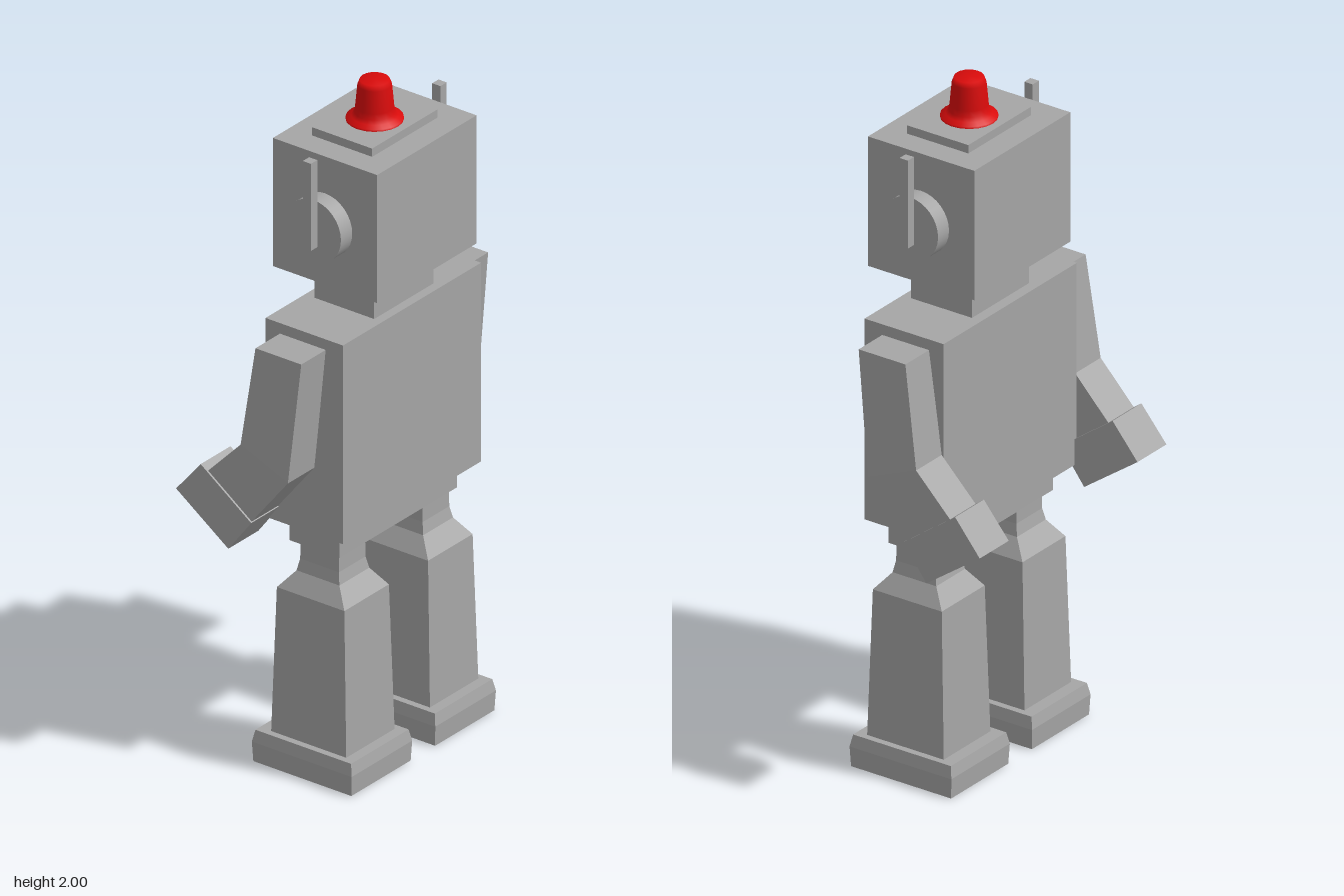
import * as THREE from 'three';

const metal = new THREE.MeshStandardMaterial({ color: 0xa6a6a6 });
metal.name = 'grey metal';
const red = new THREE.MeshStandardMaterial({ color: 0xd90b0b });
red.name = 'red lamp';

function add(parent, name, geometry, material = metal, x = 0, y = 0, z = 0) {
  const mesh = new THREE.Mesh(geometry, material);
  mesh.name = name;
  mesh.position.set(x, y, z);
  parent.add(mesh);
  return mesh;
}

// Box given by half depth, half width, bottom and top
function block(parent, name, a, b, y0, y1, x = 0, z = 0) {
  return add(parent, name, new THREE.BoxGeometry(2 * a, y1 - y0, 2 * b), metal, x, (y0 + y1) / 2, z);
}

// Faceted solid through four-cornered rings, listed from bottom to top
function loft(rings) {
  const pos = [];
  const quad = (a, b, c, d) => pos.push(...a, ...b, ...c, ...a, ...c, ...d);
  for (let k = 0; k < rings.length - 1; k++) {
    const p = rings[k], q = rings[k + 1];
    for (let i = 0; i < 4; i++) {
      const j = (i + 1) % 4;
      quad(p[i], p[j], q[j], q[i]);
    }
  }
  const lo = rings[0], hi = rings[rings.length - 1];
  quad(lo[3], lo[2], lo[1], lo[0]);
  quad(hi[0], hi[1], hi[2], hi[3]);
  const g = new THREE.BufferGeometry();
  g.setAttribute('position', new THREE.Float32BufferAttribute(pos, 3));
  g.computeVertexNormals();
  return g;
}

// Level ring: height, half depth, half width
const level = ([y, a, b]) => [[-a, y, -b], [-a, y, b], [a, y, b], [a, y, -b]];

// Slanted arm ring: front point, back point, inner and outer side
const slanted = (s) => ([fx, fy, bx, by, zin, zout]) => {
  const z0 = Math.min(s * zin, s * zout), z1 = Math.max(s * zin, s * zout);
  return [[fx, fy, z0], [fx, fy, z1], [bx, by, z1], [bx, by, z0]];
};

export function createModel() {
  const model = new THREE.Group();
  model.name = 'robot';
  // The robot faces -x, turned a little about the vertical
  const robot = new THREE.Group();
  robot.name = 'body';
  robot.position.set(0.0975, 0, -0.03);
  robot.rotation.y = 0.153;
  model.add(robot);

  // Trunk and head
  block(robot, 'hips', 0.085, 0.26, 0.675, 0.752, -0.005);
  block(robot, 'torso', 0.132, 0.305, 0.75, 1.355, -0.005);
  block(robot, 'neck', 0.102, 0.131, 1.35, 1.475, -0.003);
  block(robot, 'head', 0.1775, 0.22, 1.465, 1.855);
  block(robot, 'headPlate', 0.102, 0.144, 1.85, 1.88);

  // Lamp on the head with a flared foot
  const lampProfile = [
    [0.079, 1.878], [0.079, 1.886], [0.064, 1.892], [0.056, 1.903],
    [0.053, 1.92], [0.047, 1.985], [0.041, 2.0], [0, 2.0],
  ].map(([r, y]) => new THREE.Vector2(r, y));
  add(robot, 'lamp', new THREE.LatheGeometry(lampProfile, 20), red);

  for (const s of [1, -1]) {
    const side = s > 0 ? 'left' : 'right';

    // Ear disc and antenna
    const ear = add(robot, side + 'Ear', new THREE.CylinderGeometry(0.093, 0.093, 0.06, 32), metal, 0, 1.65, s * 0.24);
    ear.rotation.x = Math.PI / 2;
    block(robot, side + 'Antenna', 0.014, 0.014, 1.605, 1.87, 0, s * 0.286);

    // Leg and foot
    const leg = [[0.09, 0.128, 0.107], [0.534, 0.115, 0.0985], [0.585, 0.073, 0.066], [0.62, 0.066, 0.059], [0.68, 0.065, 0.058]];
    add(robot, side + 'Leg', loft(leg.map(level)), metal, 0, 0, s * 0.185);
    const foot = [[0, 0.167, 0.131], [0.06, 0.17, 0.134], [0.095, 0.163, 0.127]];
    add(robot, side + 'Foot', loft(foot.map(level)), metal, -0.003, 0, s * 0.185);

    // Bent arm and the slightly wider hand
    const arm = [
      [-0.262, 0.885, -0.1, 0.79, 0.304, 0.421],
      [-0.131, 1.02, 0.03, 0.953, 0.306, 0.423],
      [-0.088, 1.323, 0.068, 1.323, 0.303, 0.413],
    ];
    add(robot, side + 'Arm', loft(arm.map(slanted(s))));
    const hand = [
      [-0.347, 0.82, -0.169, 0.693, 0.295, 0.428],
      [-0.264, 0.92, -0.092, 0.795, 0.295, 0.427],
    ];
    add(robot, side + 'Hand', loft(hand.map(slanted(s))));
  }
  return model;
}
